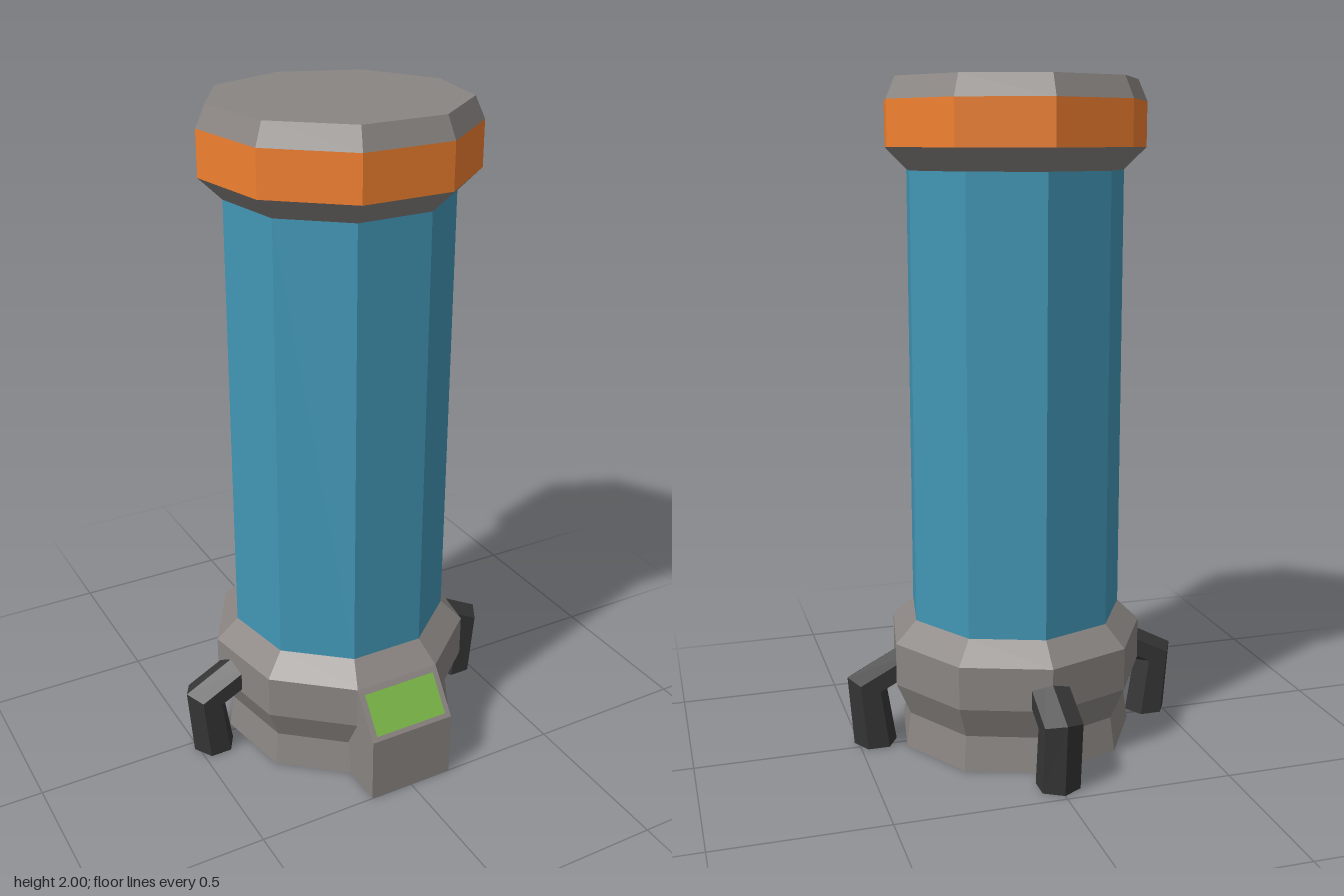
import * as THREE from 'three';

const SIDES = 9;
const AXIS_Z = 0.032; // a nine-sided body is off-centre once the console is added

const paint = (color) => new THREE.MeshStandardMaterial({ color, flatShading: true });
const grey = paint(0x8a8582);
const blue = paint(0x4296b5);
const orange = paint(0xf08030);
const green = paint(0x7ab648);
const dark = paint(0x363636);

function part(name, geometry, material) {
  const mesh = new THREE.Mesh(geometry, material);
  mesh.name = name;
  return mesh;
}

// Nine-sided turned part from [radius, height] pairs, listed bottom to top, one corner at the back
function turned(name, profile, material) {
  const points = profile.map(([r, y]) => new THREE.Vector2(r, y));
  const geometry = new THREE.LatheGeometry(points, SIDES);
  geometry.rotateY(Math.PI);
  return part(name, geometry, material);
}

// Hexagonal bent leg; each ring is [outer x, outer y, inner x, inner y]
function legGeometry() {
  const rings = [
    [0.513, 0, 0.381, 0],
    [0.53, 0.217, 0.408, 0.17],
    [0.33, 0.322, 0.283, 0.23],
  ];
  const n = 6, halfWidth = 0.066;
  const positions = [], index = [];
  for (const [ox, oy, ix, iy] of rings) {
    for (let i = 0; i < n; i++) {
      const a = (i / n) * Math.PI * 2, c = Math.cos(a) / 2;
      positions.push((ox + ix) / 2 + c * (ox - ix), (oy + iy) / 2 + c * (oy - iy), -Math.sin(a) * halfWidth);
    }
  }
  for (let r = 0; r < rings.length - 1; r++) {
    for (let i = 0; i < n; i++) {
      const a = r * n + i, b = r * n + (i + 1) % n;
      index.push(a, b, b + n, a, b + n, a + n);
    }
  }
  // End caps
  const last = (rings.length - 1) * n;
  for (let i = 1; i < n - 1; i++) {
    index.push(0, i + 1, i, last, last + i, last + i + 1);
  }
  const geometry = new THREE.BufferGeometry();
  geometry.setAttribute('position', new THREE.Float32BufferAttribute(positions, 3));
  geometry.setIndex(index);
  geometry.computeVertexNormals();
  return geometry;
}

export function createModel() {
  const model = new THREE.Group();
  model.name = 'canister';

  const body = new THREE.Group();
  body.name = 'body';
  body.position.z = AXIS_Z;
  model.add(body);

  // Base, tube and banded cap
  body.add(
    turned('base', [[0, 0], [0.367, 0], [0.352, 0.105], [0.397, 0.205], [0.397, 0.335], [0.33, 0.4]], grey),
    turned('tube', [[0.33, 0.4], [0.33, 1.74]], blue),
    turned('capUnderside', [[0.33, 1.74], [0.397, 1.805]], grey),
    turned('capBand', [[0.397, 1.805], [0.397, 1.937]], orange),
    turned('capTop', [[0.397, 1.937], [0.369, 2], [0, 2]], grey),
  );

  // Legs on the left, back and right
  const leg = legGeometry();
  ['leftLeg', 'backLeg', 'rightLeg'].forEach((name, i) => {
    const mesh = part(name, leg, dark);
    mesh.rotation.y = (i * Math.PI) / 2;
    body.add(mesh);
  });

  // Front console: side outline (z, y) extruded across x
  const width = 0.272;
  const outline = new THREE.Shape([[0.3, 0], [0.5, 0], [0.5, 0.205], [0.405, 0.335], [0.3, 0.335]]
    .map(([z, y]) => new THREE.Vector2(z, y)));
  const consoleGeometry = new THREE.ExtrudeGeometry(outline, { depth: width, bevelEnabled: false });
  consoleGeometry.rotateY(-Math.PI / 2).translate(width / 2, 0, 0);
  model.add(part('console', consoleGeometry, grey));

  // Screen on the console slope
  const screen = part('screen', new THREE.BoxGeometry(0.236, 0.127, 0.006), green);
  screen.position.set(0, 0.268, 0.454);
  screen.rotation.x = -Math.atan2(0.095, 0.13);
  model.add(screen);

  return model;
}
